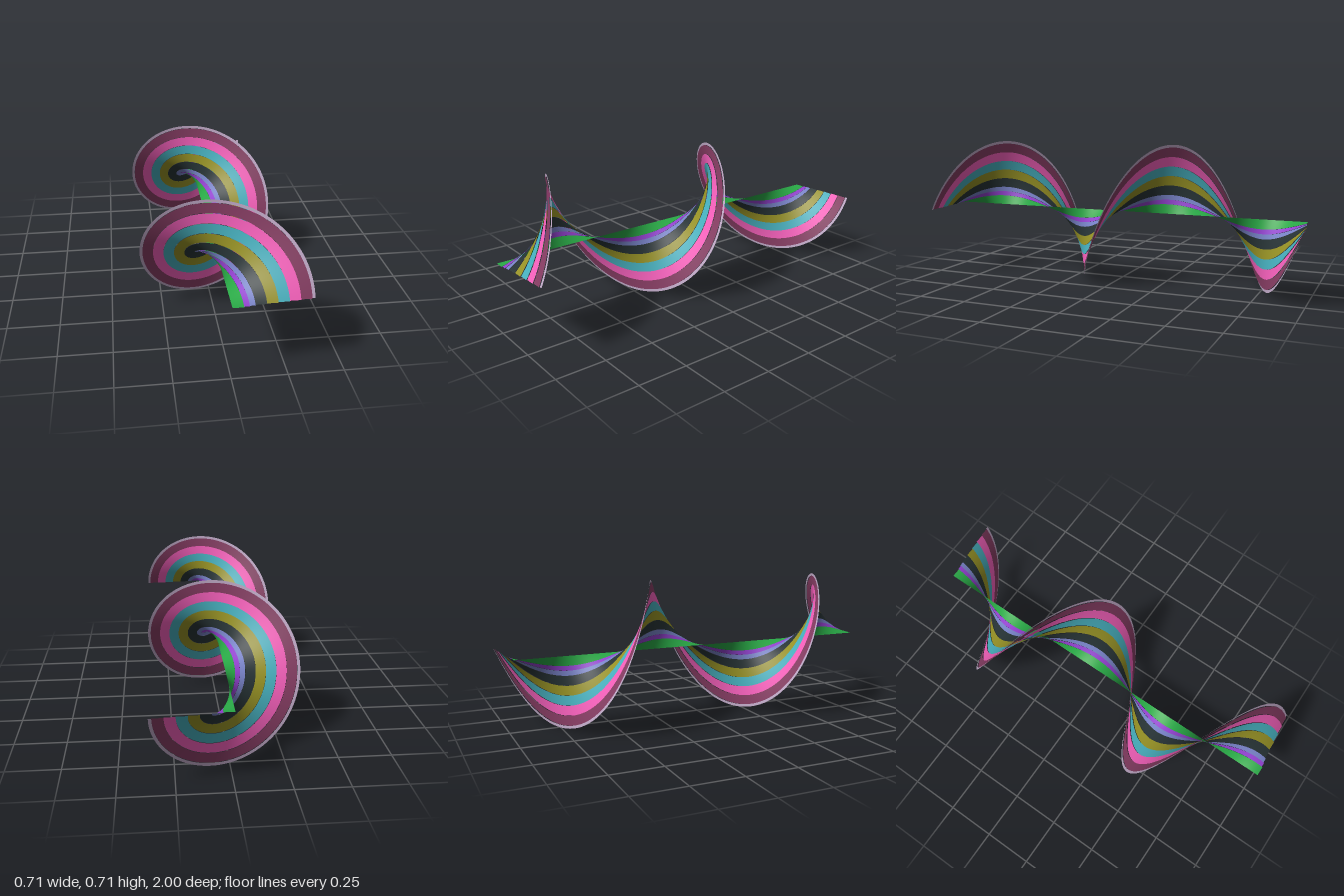
import * as THREE from 'three';

const RADIUS = 0.357;   // outer radius, also the height of the axis
const TURNS = 2;
const STEP = 0.0044;    // each band sits a little further back than the one inside it
const SEGMENTS = 240;

// Name, outer radius and colour of each band, from the axis outwards
const BANDS = [
  ['coreBand', 0.049, 0x28a745],
  ['purpleBand', 0.073, 0x9040cc],
  ['blueBand', 0.098, 0x7580c4],
  ['blackBand', 0.147, 0x263234],
  ['oliveBand', 0.196, 0x959024],
  ['tealBand', 0.245, 0x46aebc],
  ['pinkBand', 0.294, 0xf45fba],
  ['maroonBand', 0.343, 0x853c62],
  ['rimBand', RADIUS, 0xbfa8c6],
];

// Helical ribbon between two radii, winding from front to back
function ribbon(inner, outer, zStart, length) {
  const geometry = new THREE.PlaneGeometry(1, 1, 1, SEGMENTS);
  const pos = geometry.attributes.position;
  for (let i = 0; i < pos.count; i++) {
    const t = 0.5 - pos.getY(i);
    const r = pos.getX(i) < 0 ? inner : outer;
    const angle = t * TURNS * Math.PI * 2;
    pos.setXYZ(i, r * Math.cos(angle), RADIUS + r * Math.sin(angle), zStart - t * length);
  }
  geometry.computeVertexNormals();
  return geometry;
}

export function createModel() {
  const group = new THREE.Group();
  group.name = 'helicalRibbon';
  const length = 2 - STEP * (BANDS.length - 1);
  let inner = 0;
  BANDS.forEach(([name, outer, color], i) => {
    const material = new THREE.MeshStandardMaterial({ color, side: THREE.DoubleSide });
    const band = new THREE.Mesh(ribbon(inner, outer, 1 - i * STEP, length), material);
    band.name = name;
    group.add(band);
    inner = outer;
  });
  return group;
}
